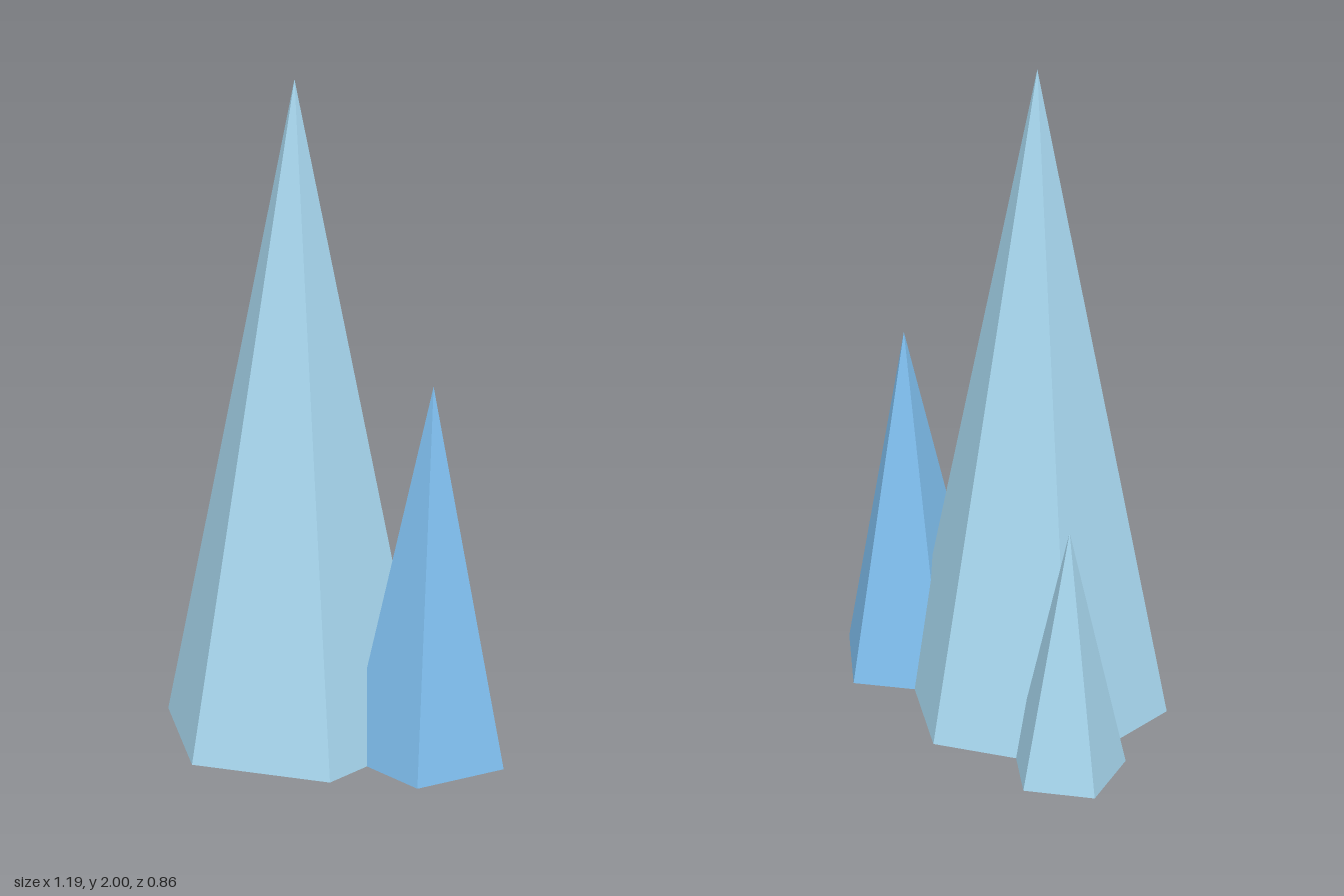
import * as THREE from 'three';

// One faceted crystal spike standing on y = 0, a base corner pointing to -z
function makeSpike(name, radius, height, sides, x, z, color) {
  const geometry = new THREE.ConeGeometry(radius, height, sides);
  geometry.rotateY(Math.PI);
  geometry.translate(0, height / 2, 0);
  const material = new THREE.MeshStandardMaterial({ color, flatShading: true });
  const mesh = new THREE.Mesh(geometry, material);
  mesh.name = name;
  mesh.position.set(x, 0, z);
  return mesh;
}

export function createModel() {
  const group = new THREE.Group();
  group.name = 'crystalCluster';
  const pale = 0xa8d8f0;
  const blue = 0x80c0f0;
  group.add(
    makeSpike('mainSpike', 0.4286, 2, 6, -0.07, 0, pale),
    makeSpike('leftSpike', 0.25, 1.143, 5, 0.359, -0.143, blue),
    makeSpike('rightSpike', 0.1786, 0.786, 5, -0.427, -0.214, pale),
  );
  return group;
}
